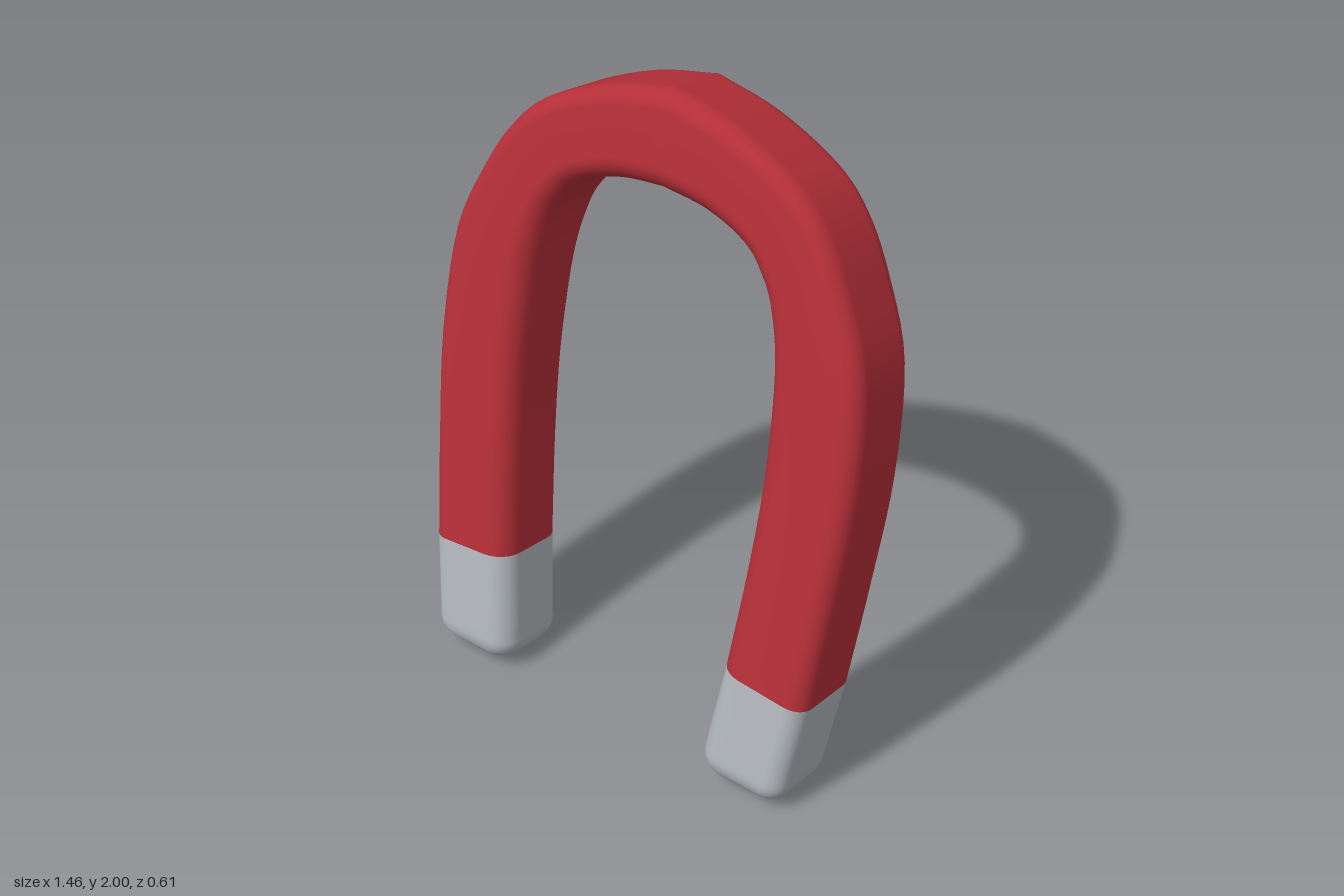
import * as THREE from 'three';

const DEPTH = 0.143; // half thickness, front to back

// Rounded-square cross-section: t runs inner (-1) to outer (+1), w back to front
function sectionPoints() {
  const pts = [];
  const corners = [[1, 1, 0.4], [-1, 1, 0.52], [-1, -1, 0.52], [1, -1, 0.4]];
  corners.forEach(([sx, sy, r], c) => {
    for (let i = 0; i <= 6; i++) {
      const a = (c + i / 6) * Math.PI / 2;
      pts.push([sx * (1 - r) + r * Math.cos(a), sy * (1 - r) + r * Math.sin(a)]);
    }
  });
  return pts;
}
const SECTION = sectionPoints();

// Skin a list of sections { o: outer point, i: inner point, k: scale }
function loft(sections, side, capped) {
  const pos = [], idx = [], n = SECTION.length;
  const tri = (a, b, c) => (side > 0 ? idx.push(a, b, c) : idx.push(a, c, b));
  for (const { o, i, k = 1 } of sections) {
    for (const [t, w] of SECTION) {
      const x = (o.x + i.x) / 2 + (o.x - i.x) / 2 * t * k;
      const y = (o.y + i.y) / 2 + (o.y - i.y) / 2 * t * k;
      pos.push(side * x, y, w * DEPTH * k);
    }
  }
  for (let s = 0; s < sections.length - 1; s++) {
    for (let j = 0; j < n; j++) {
      const a = s * n + j, b = s * n + (j + 1) % n;
      tri(a, b, a + n);
      tri(b, b + n, a + n);
    }
  }
  if (capped) {
    const { o, i } = sections.at(-1), base = (sections.length - 1) * n;
    pos.push(side * (o.x + i.x) / 2, (o.y + i.y) / 2, 0);
    for (let j = 0; j < n; j++) tri(pos.length / 3 - 1, base + j, base + (j + 1) % n);
  }
  const geo = new THREE.BufferGeometry();
  geo.setAttribute('position', new THREE.Float32BufferAttribute(pos, 3));
  geo.setIndex(idx);
  geo.computeVertexNormals();
  return geo;
}

const curve = (pts) => new THREE.CatmullRomCurve3(pts.map(([x, y]) => new THREE.Vector3(x, y, 0)), false, 'catmullrom', 0.5);

export function createModel() {
  const red = new THREE.MeshStandardMaterial({ color: 0xb52f38 });
  red.name = 'red paint';
  const steel = new THREE.MeshStandardMaterial({ color: 0xb1b6bb });
  steel.name = 'bare steel';

  // Outer and inner edges of one half, from the crown down to the paint line
  const outer = curve([[0, 1], [0.2, 0.955], [0.4, 0.866], [0.515, 0.765], [0.61, 0.61],
    [0.7, 0.385], [0.729, 0.05], [0.715, -0.3], [0.692, -0.64]]);
  const inner = curve([[0, 0.715], [0.15, 0.697], [0.28, 0.645], [0.345, 0.575], [0.385, 0.49],
    [0.42, 0.32], [0.435, 0.02], [0.425, -0.28], [0.4, -0.615]]);
  const arm = [];
  for (let s = 0; s <= 40; s++) arm.push({ o: outer.getPoint(s / 40), i: inner.getPoint(s / 40) });

  // Pole tip: short straight run, then a rounded end
  const tip = [];
  const endO = new THREE.Vector3(0.66, -0.92, 0), endI = new THREE.Vector3(0.366, -0.92, 0);
  for (let s = 0; s < 4; s++) {
    tip.push({ o: arm[40].o.clone().lerp(endO, s / 4), i: arm[40].i.clone().lerp(endI, s / 4) });
  }
  for (let s = 0; s <= 7; s++) {
    const a = s / 7 * Math.PI / 2, drop = new THREE.Vector3(0, -0.08 * Math.sin(a), 0);
    tip.push({ o: endO.clone().add(drop), i: endI.clone().add(drop), k: 1 - 0.5 * (1 - Math.cos(a)) });
  }

  // The whole horseshoe leans back
  const magnet = new THREE.Group();
  magnet.name = 'horseshoe';
  magnet.position.y = 1;
  magnet.rotation.x = -THREE.MathUtils.degToRad(10);
  for (const [side, label] of [[1, 'left'], [-1, 'right']]) {
    const armMesh = new THREE.Mesh(loft(arm, side, false), red);
    armMesh.name = label + 'Arm';
    const tipMesh = new THREE.Mesh(loft(tip, side, true), steel);
    tipMesh.name = label + 'PoleTip';
    magnet.add(armMesh, tipMesh);
  }

  const model = new THREE.Group();
  model.name = 'horseshoeMagnet';
  model.add(magnet);
  return model;
}
